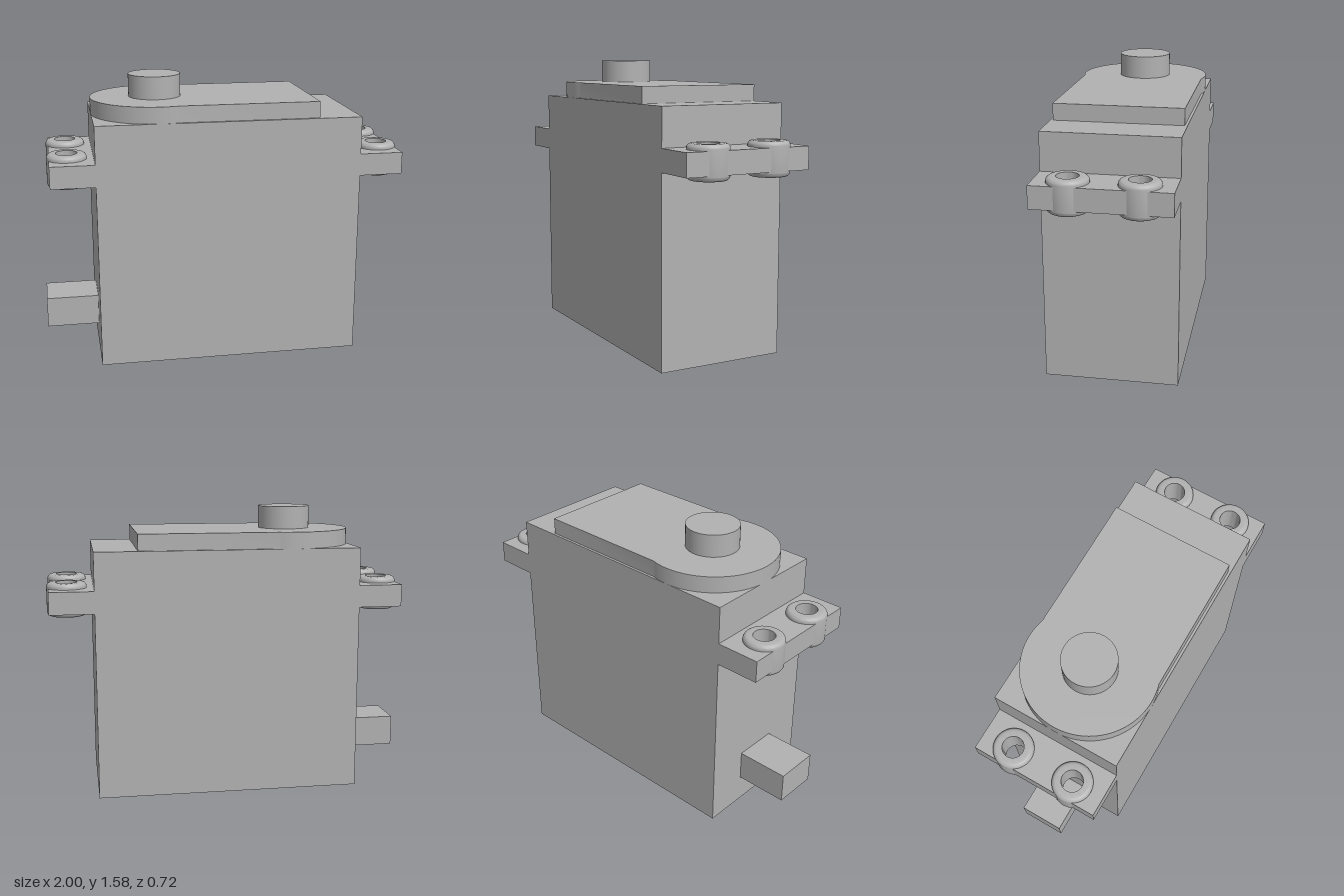
import * as THREE from 'three';
import { toCreasedNormals } from 'three/addons/utils/BufferGeometryUtils.js';

export function createModel() {
  const model = new THREE.Group();
  model.name = 'servoMotor';
  const plastic = new THREE.MeshStandardMaterial({ color: 0xb2b2b2 });
  plastic.name = 'greyPlastic';

  const add = (name, geometry) => {
    const mesh = new THREE.Mesh(geometry, plastic);
    mesh.name = name;
    model.add(mesh);
    return mesh;
  };
  // Box from its low and high limits
  const box = (name, x0, x1, y0, y1, z0, z1) =>
    add(name, new THREE.BoxGeometry(x1 - x0, y1 - y0, z1 - z0))
      .position.set((x0 + x1) / 2, (y0 + y1) / 2, (z0 + z1) / 2);
  // Horizontal plate from an outline seen from above
  const plate = (name, shape, y, depth) => {
    const geometry = new THREE.ExtrudeGeometry(shape, { depth, bevelEnabled: false, curveSegments: 40 });
    geometry.rotateX(-Math.PI / 2);
    add(name, toCreasedNormals(geometry, 0.6)).position.y = y;
  };

  // Main case and cable outlet
  box('case', -0.71, 0.745, 0, 1.36, -0.36, 0.36);
  box('cableOutlet', -1, -0.71, 0.155, 0.325, -0.125, 0.125);

  // Gear cover: round end running into a slightly narrower straight part
  const cx = -0.352, r = 0.36, half = 0.346;
  const a = Math.asin(half / r);
  const cover = new THREE.Shape();
  cover.moveTo(0.51, -half);
  cover.lineTo(0.51, half);
  cover.absarc(cx, 0, r, a, 2 * Math.PI - a, false);
  cover.closePath();
  plate('gearCover', cover, 1.36, 0.09);

  // Output shaft
  add('outputShaft', new THREE.CylinderGeometry(0.145, 0.145, 0.125, 48)).position.set(cx, 1.5125, 0);

  // Grommet profile: a hollow sleeve with rounded outer rims
  const inner = 0.058, outer = 0.109, low = 1.0, high = 1.183, f = 0.024;
  const profile = [new THREE.Vector2(inner, low)];
  for (let i = 0; i <= 6; i++) {
    const t = (i / 6) * Math.PI / 2;
    profile.push(new THREE.Vector2(outer - f + f * Math.sin(t), low + f - f * Math.cos(t)));
  }
  for (let i = 0; i <= 6; i++) {
    const t = (i / 6) * Math.PI / 2;
    profile.push(new THREE.Vector2(outer - f + f * Math.cos(t), high - f + f * Math.sin(t)));
  }
  profile.push(new THREE.Vector2(inner, high), new THREE.Vector2(inner, low));
  const grommet = toCreasedNormals(new THREE.LatheGeometry(profile, 40), 0.6);

  // Mounting flanges with two drilled holes and grommets each
  for (const [side, x0, x1, hx] of [['right', -0.951, -0.71, -0.855], ['left', 0.745, 0.985, 0.889]]) {
    const flange = new THREE.Shape();
    flange.moveTo(x0, -0.36);
    flange.lineTo(x1, -0.36);
    flange.lineTo(x1, 0.36);
    flange.lineTo(x0, 0.36);
    flange.closePath();
    for (const z of [-0.18, 0.18]) {
      const hole = new THREE.Path();
      hole.absarc(hx, z, 0.08, 0, Math.PI * 2, true);
      flange.holes.push(hole);
      add(side + (z > 0 ? 'Front' : 'Back') + 'Grommet', grommet).position.set(hx, 0, z);
    }
    plate(side + 'Flange', flange, 1.03, 0.122);
  }
  return model;
}
